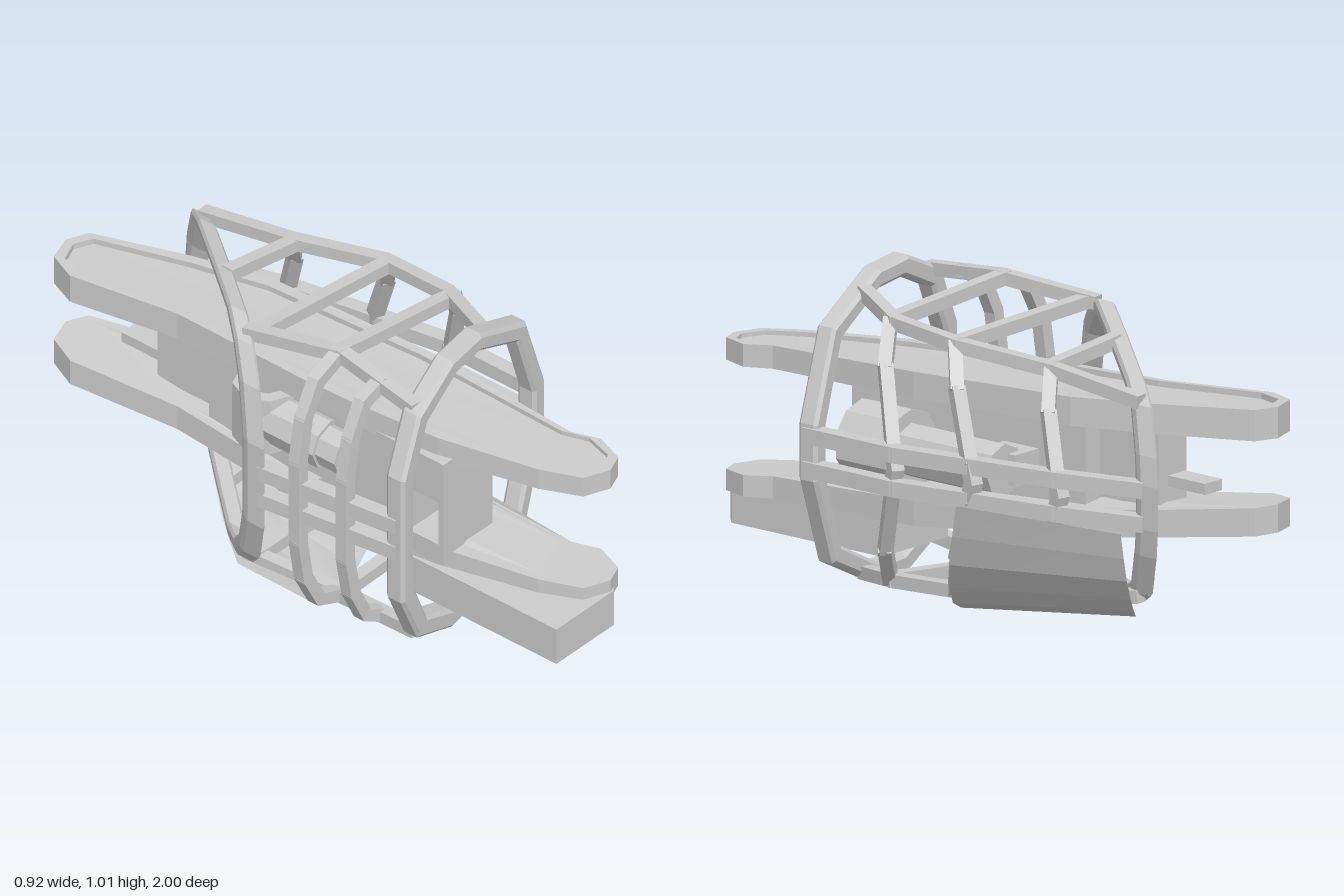
import * as THREE from 'three';

const MID = 0.51; // height of the cage's mirror plane
const mat = new THREE.MeshStandardMaterial({ color: 0xcccccc, flatShading: true });
const thin = new THREE.MeshStandardMaterial({ color: 0xcccccc, flatShading: true, side: THREE.DoubleSide });
const lerp = THREE.MathUtils.lerp;
const flip = ([x, y, z]) => [x, 2 * MID - y, z];
const points = list => list.map(p => new THREE.Vector2(...p));

function add(parent, name, geo, x = 0, y = 0, z = 0, material = mat) {
  const m = new THREE.Mesh(geo, material);
  m.name = name;
  m.position.set(x, y, z);
  parent.add(m);
  return m;
}

// move every vertex by a rule
function warp(geo, rule) {
  const p = geo.attributes.position, v = new THREE.Vector3();
  for (let i = 0; i < p.count; i++) {
    v.fromBufferAttribute(p, i);
    rule(v);
    p.setXYZ(i, v.x, v.y, v.z);
  }
  geo.computeVertexNormals();
  return geo;
}

// square bar along a polyline
function bar(parent, name, pts, w = 0.042) {
  const g = new THREE.Group();
  g.name = name;
  for (let i = 1; i < pts.length; i++) {
    const a = new THREE.Vector3(...pts[i - 1]), b = new THREE.Vector3(...pts[i]);
    const seg = add(g, name + 'Segment', new THREE.BoxGeometry(w, w, a.distanceTo(b) + w * 0.35));
    seg.position.copy(a).add(b).multiplyScalar(0.5);
    seg.lookAt(b);
  }
  parent.add(g);
}

// chamfered polygon frame, slanted so that z = z0 + slope * x
function ring(parent, name, half, cx, sx, sy, depth, z0, slope) {
  const low = half.map(([x, y]) => [x, 2 * MID - y]).reverse();
  const outer = points([...half, ...low]);
  const shape = new THREE.Shape(outer);
  shape.holes.push(new THREE.Path(outer.map(p => new THREE.Vector2(cx + (p.x - cx) * sx, MID + (p.y - MID) * sy))));
  const c = 0.012;
  const geo = new THREE.ExtrudeGeometry(shape, {
    depth: depth - 2 * c, bevelSize: c, bevelOffset: -c, bevelThickness: c, bevelSegments: 1,
  });
  add(parent, name, warp(geo, v => { v.z += z0 - depth / 2 + c + slope * v.x; }));
}

// long tray-like plank, outline in x and z; heights of the closed face and of the
// rim around the sunken face are given at z = 1, 0.2 and -1
function plank(parent, name, bottom, top, sunkenTop) {
  const outline = [[0.1, 0.995], [0.165, 0.97], [0.2, 0.87], [0.163, 0.78], [0.175, 0.2], [0.13, -0.4], [0.05, -0.66],
    [-0.075, -0.97], [-0.15, -1], [-0.24, -0.97], [-0.28, -0.87], [-0.203, -0.5], [-0.195, 0], [-0.18, 0.2], [-0.14, 0.5],
    [-0.05, 0.83], [0.012, 0.96]];
  const inset = outline.map(([x, z]) => {
    const c = -0.025 + 0.125 * z;
    return [c + (x - c) * 0.82, z * 0.968];
  });
  const toShape = list => new THREE.Shape(points(list.map(([x, z]) => [x, -z])));
  const level = (h, z) => z > 0.2 ? lerp(h[1], h[0], (z - 0.2) / 0.8) : lerp(h[1], h[2], (0.2 - z) / 1.2);
  const g = new THREE.Group();
  g.name = name;
  const part = (label, shape, from, to) => {
    const geo = new THREE.ExtrudeGeometry(shape, { depth: to - from, bevelEnabled: false });
    geo.rotateX(-Math.PI / 2).translate(0, from, 0);
    add(g, label, warp(geo, v => { v.y = lerp(level(bottom, v.z), level(top, v.z), v.y); }));
  };
  const rim = toShape(outline);
  rim.holes.push(toShape(inset));
  part(name + 'Rim', rim, 0, 1);
  part(name + 'Panel', toShape(inset), sunkenTop ? 0 : 0.2, sunkenTop ? 0.8 : 1);
  parent.add(g);
}

function tube(parent, name, rOut, rIn, len, sides) {
  const pts = [[rIn, -len / 2], [rOut, -len / 2], [rOut, len / 2], [rIn, len / 2], [rIn, -len / 2]];
  return add(parent, name, new THREE.LatheGeometry(points(pts), sides), 0, 0, 0, thin);
}

// solid cylinder lying along z
function rod(parent, name, r, len, x, y, z) {
  add(parent, name, new THREE.CylinderGeometry(r, r, len, 8).rotateX(Math.PI / 2), x, y, z);
}

export function createModel() {
  const root = new THREE.Group();
  root.name = 'cagedMachine';
  const cage = new THREE.Group();
  cage.name = 'cage';
  root.add(cage);

  // end frames
  ring(cage, 'frontFrame', [[0.45, 0.6], [0.34, 0.885], [0.07, 1.01], [-0.1, 1.015], [-0.3, 0.93], [-0.395, 0.74]],
    0.03, 0.84, 0.875, 0.075, 0.475, -0.18);
  ring(cage, 'rearFrame', [[0.265, 0.58], [0.25, 0.67], [0.2, 0.81], [0.12, 0.86], [-0.1, 0.92], [-0.26, 0.955], [-0.34, 0.92],
    [-0.41, 0.83], [-0.46, 0.66]], -0.1, 0.9, 0.89, 0.085, -0.515, -1.2);

  // long rails, cross ribs and diagonals, mirrored top to bottom
  const bars = [
    ['rightRidge', [[0.15, 0.955, 0.42], [0.26, 0.92, 0.2], [0.28, 0.9, -0.07], [0.21, 0.865, -0.4], [0.19, 0.82, -0.73]]],
    ['leftRidge', [[-0.27, 0.93, 0.52], [-0.24, 0.965, 0.2], [-0.3, 0.93, -0.13]]],
    ['rearCrossbar', [[-0.08, 0.9, -0.4], [0.21, 0.865, -0.38]]],
    ['middleCrossbar', [[-0.3, 0.93, -0.1], [0.28, 0.9, -0.06]]],
    ['frontCrossbar', [[-0.24, 0.965, 0.19], [0.26, 0.92, 0.22]]],
    ['rearRib', [[-0.24, 0.965, 0.19], [-0.35, 0.92, 0.19], [-0.41, 0.81, 0.19], [-0.435, 0.66, 0.19], [-0.435, MID, 0.19]]],
    ['frontRib', [[-0.25, 0.95, 0.37], [-0.33, 0.91, 0.36], [-0.385, 0.8, 0.36], [-0.41, 0.66, 0.36], [-0.41, MID, 0.36]]],
    ['frontDiagonal', [[0.26, 0.92, 0.22], [0.34, 0.8, 0.17], [0.41, 0.57, 0.08], [0.42, MID, 0.06]]],
    ['middleDiagonal', [[0.28, 0.9, -0.06], [0.34, 0.78, -0.12], [0.385, 0.57, -0.21], [0.39, MID, -0.23]]],
    ['rearDiagonal', [[0.21, 0.865, -0.39], [0.28, 0.75, -0.44], [0.325, 0.57, -0.51], [0.33, MID, -0.53]]],
    ['rightWaistRail', [[0.433, 0.564, 0.4], [0.433, 0.564, 0.05], [0.33, 0.564, -0.52], [0.25, 0.564, -0.8]], 0.05],
    ['leftWaistRail', [[-0.375, 0.56, 0.54], [-0.437, 0.56, 0.05]], 0.05],
  ];
  for (const [name, pts, w] of bars) {
    bar(cage, name + 'Upper', pts, w);
    bar(cage, name + 'Lower', pts.map(flip), w);
  }

  // curved guard plate around the lower right, lofted between two smooth edges
  const edge = list => new THREE.CatmullRomCurve3(list.map(p => new THREE.Vector3(...p)));
  const front = edge([[-0.36, 0.08, 0.2], [-0.2, 0.03, 0.16], [0.07, 0.012, 0.05], [0.29, 0.08, -0.06], [0.41, 0.24, -0.15], [0.46, 0.45, -0.22]]);
  const back = edge([[-0.36, 0.085, -0.12], [-0.16, 0.055, -0.36], [0.1, 0.1, -0.64], [0.25, 0.17, -0.76], [0.34, 0.29, -0.81], [0.38, 0.45, -0.82]]);
  add(root, 'guardPlate', warp(new THREE.PlaneGeometry(1, 1, 10, 3), v => {
    const u = THREE.MathUtils.clamp(v.x + 0.5, 0, 1), t = v.y + 0.5;
    v.copy(front.getPoint(u)).lerp(back.getPoint(u), t);
  }), 0, 0, 0, thin);

  // two long planks, sunken on their outer faces, and the block below the front
  plank(root, 'upperPlank', [0.645, 0.66, 0.68], [0.715, 0.745, 0.78], true);
  plank(root, 'lowerPlank', [0.23, 0.255, 0.38], [0.297, 0.335, 0.47], false);
  const foot = new THREE.Shape(points([[-0.16, -1], [0.11, -1], [0.15, -0.96], [0.15, -0.35], [-0.16, -0.35]]));
  const footGeo = new THREE.ExtrudeGeometry(foot, { depth: 0.13, bevelEnabled: false });
  add(root, 'frontFoot', footGeo.rotateX(-Math.PI / 2), 0, 0.125, 0);

  // core between the planks, with a window through its front part
  add(root, 'core', new THREE.BoxGeometry(0.23, 0.37, 0.5), -0.055, 0.485, -0.15);
  add(root, 'rearCore', new THREE.BoxGeometry(0.13, 0.26, 0.26), -0.07, 0.55, -0.51);
  add(root, 'rearStub', new THREE.BoxGeometry(0.08, 0.035, 0.16), -0.09, 0.5, -0.71);
  const housing = new THREE.Shape(points([[-0.55, 0.29], [-0.1, 0.29], [-0.1, 0.67], [-0.55, 0.67]]));
  housing.holes.push(new THREE.Path(points([[-0.53, 0.36], [-0.41, 0.36], [-0.41, 0.52], [-0.53, 0.52]])));
  const housingGeo = new THREE.ExtrudeGeometry(housing, { depth: 0.23, bevelEnabled: false });
  add(root, 'windowHousing', housingGeo.rotateY(Math.PI / 2), -0.17, 0, 0);

  // open barrel on the right, with its pipe
  const barrel = tube(root, 'barrel', 0.128, 0.07, 0.2, 10);
  barrel.rotation.x = Math.PI / 2;
  barrel.position.set(0.185, 0.5, 0.3);
  rod(root, 'barrelPipe', 0.085, 0.4, 0.185, 0.5, 0.02);
  add(root, 'barrelBracket', new THREE.BoxGeometry(0.14, 0.1, 0.14), 0.1, 0.5, -0.14);
  add(root, 'barrelSupport', new THREE.BoxGeometry(0.08, 0.07, 0.2), 0.08, 0.34, 0.12);

  // upright canister and fittings on the left
  tube(root, 'canister', 0.108, 0.065, 0.2, 8).position.set(-0.175, 0.555, -0.16);
  rod(root, 'canisterPipe', 0.085, 0.22, -0.19, 0.555, 0);
  rod(root, 'pipeEnd', 0.07, 0.1, -0.195, 0.555, 0.14);
  add(root, 'smallBox', new THREE.BoxGeometry(0.065, 0.075, 0.09), -0.25, 0.338, 0.02);
  add(root, 'smallBoxMount', new THREE.BoxGeometry(0.06, 0.1, 0.07), -0.195, 0.34, 0.02);
  return root;
}
